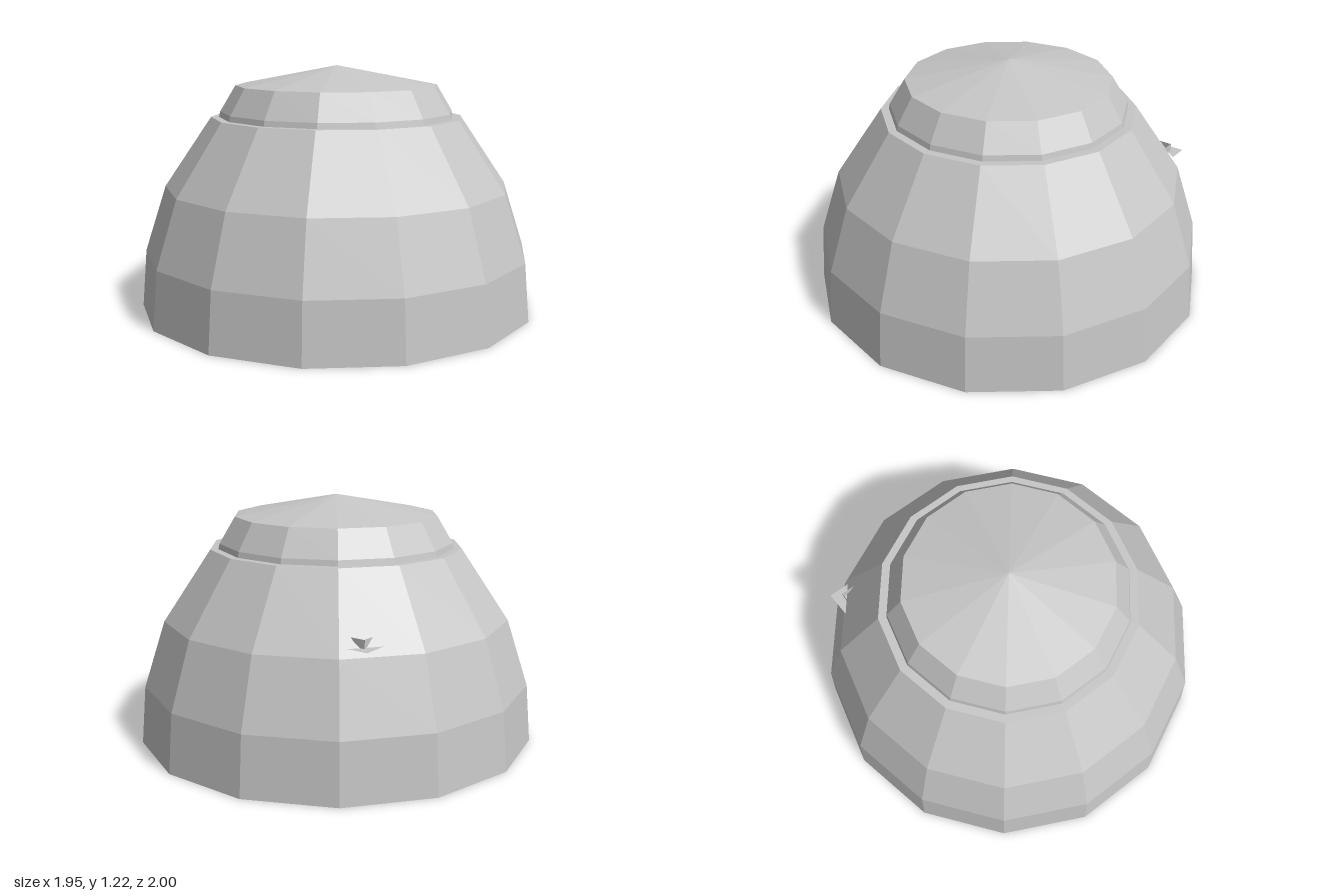
import * as THREE from 'three';

const SIDES = 14;

export function createModel() {
  const group = new THREE.Group();
  const grey = new THREE.MeshStandardMaterial({
    color: 0xc6c6c6, flatShading: true, side: THREE.DoubleSide,
  });
  grey.name = 'plain grey';

  const add = (name, geometry) => {
    const flat = geometry.index ? geometry.toNonIndexed() : geometry;
    flat.computeVertexNormals();
    const mesh = new THREE.Mesh(flat, grey);
    mesh.name = name;
    group.add(mesh);
  };

  // Open, hollow shells turned from [radius, height] profiles
  const turned = (name, profile) => add(name, new THREE.LatheGeometry(
    profile.map(([r, y]) => new THREE.Vector2(r, y)), SIDES));

  turned('domeWall', [[1, 0], [0.975, 0.29], [0.868, 0.62], [0.632, 0.968]]);
  turned('ledge', [[0.632, 0.968], [0.592, 0.968]]);
  turned('capWall', [[0.592, 0.968], [0.586, 0.995], [0.508, 1.125]]);
  turned('capRoof', [[0.508, 1.125], [0, 1.223]]);

  // Small crossed fins poking out of the back left of the dome
  const fin = (name, ...corners) => add(name, new THREE.BufferGeometry().setFromPoints(
    corners.map((c) => new THREE.Vector3(...c))));

  fin('flatFin', [0.64, 0.66, -0.66], [0.51, 0.66, -0.655], [0.64, 0.66, -0.555]);
  fin('sideFin', [0.595, 0.7, -0.615], [0.595, 0.645, -0.61], [0.595, 0.7, -0.53]);
  fin('backFin', [0.595, 0.7, -0.61], [0.53, 0.7, -0.61], [0.595, 0.645, -0.61]);

  return group;
}
